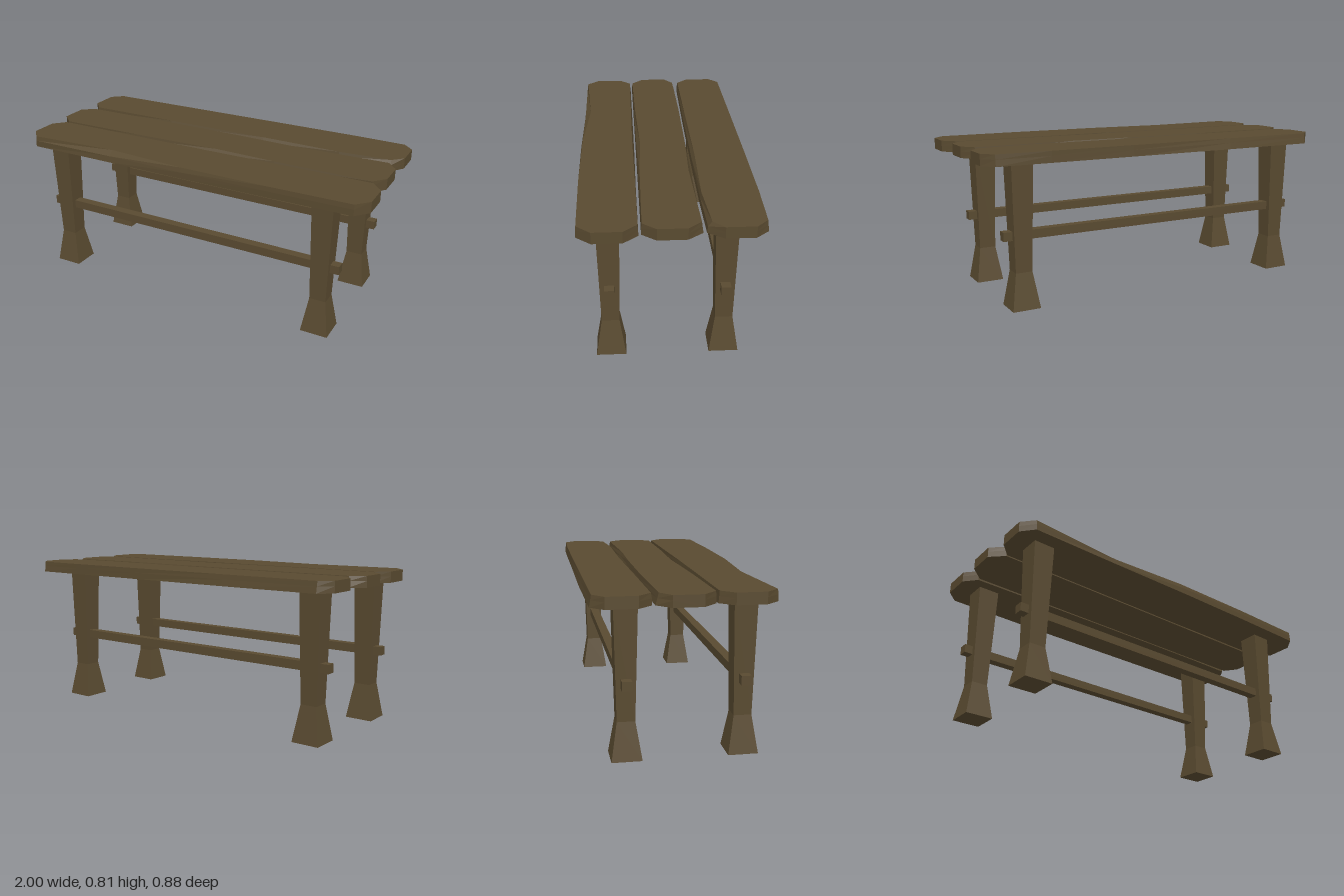
import * as THREE from 'three';

const wood = new THREE.MeshStandardMaterial({ color: 0x594a30, flatShading: true });
const BOTTOM = 0.752, MIDDLE = 0.785, TOP = 0.81;

// Skins a list of rings (equal point counts) and closes both ends.
function loft(rings) {
  const n = rings[0].length, last = (rings.length - 1) * n, index = [];
  for (let i = 0; i < rings.length - 1; i++) {
    for (let j = 0; j < n; j++) {
      const k = (j + 1) % n, a = i * n + j, b = i * n + k;
      index.push(a, a + n, b + n, a, b + n, b);
    }
  }
  for (let j = 1; j < n - 1; j++) {
    index.push(0, j, j + 1, last, last + j + 1, last + j);
  }
  const geometry = new THREE.BufferGeometry();
  geometry.setAttribute('position', new THREE.Float32BufferAttribute(rings.flat(2), 3));
  geometry.setIndex(index);
  const flat = geometry.toNonIndexed();
  flat.computeVertexNormals();
  return flat;
}

function add(parent, name, geometry, x = 0, y = 0, z = 0) {
  const mesh = new THREE.Mesh(geometry, wood);
  mesh.name = name;
  mesh.position.set(x, y, z);
  parent.add(mesh);
}

// Each station: x, front z, front top inset, back z, back top inset.
function plank(stations) {
  return loft(stations.map(([x, front, fi, back, bi]) => [
    [x, BOTTOM, front], [x, MIDDLE, front - fi * 0.15], [x, TOP, front - fi],
    [x, TOP, back + bi], [x, MIDDLE, back + bi * 0.6], [x, BOTTOM, back],
  ]));
}

// Square leg: tapering shaft over a flared foot.
function leg() {
  const levels = [[0.755, 0.057], [0.19, 0.044], [0, 0.074]];
  return loft(levels.map(([y, r]) => [[-r, y, -r], [-r, y, r], [r, y, r], [r, y, -r]]));
}

export function createModel() {
  const bench = new THREE.Group();
  bench.name = 'bench';

  // Three rough planks with clipped corners and worn edges
  add(bench, 'frontPlank', plank([
    [-0.99, 0.36, 0, 0.215, 0],
    [-0.93, 0.43, 0.005, 0.147, 0.005],
    [-0.43, 0.432, 0.037, 0.147, 0.008],
    [0.02, 0.437, 0.008, 0.147, 0.01],
    [0.5, 0.436, 0.003, 0.15, 0.004],
    [0.94, 0.43, 0.003, 0.15, 0.003],
    [1.0, 0.36, 0, 0.22, 0],
  ]));
  add(bench, 'middlePlank', plank([
    [-1.0, 0.07, 0, -0.075, 0],
    [-0.93, 0.138, 0.003, -0.142, 0.015],
    [-0.45, 0.138, 0.008, -0.142, 0.009],
    [0.05, 0.138, 0.023, -0.142, 0.012],
    [0.4, 0.138, 0.01, -0.142, 0.022],
    [0.93, 0.138, 0.003, -0.142, 0.008],
    [0.985, 0.07, 0, -0.07, 0],
  ]));
  add(bench, 'backPlank', plank([
    [-0.99, -0.225, 0, -0.375, 0],
    [-0.93, -0.157, 0.005, -0.438, 0.01],
    [-0.4, -0.152, 0.012, -0.444, 0.012],
    [0.2, -0.15, 0.018, -0.441, 0.005],
    [0.65, -0.152, 0.008, -0.44, 0.003],
    [0.93, -0.158, 0.022, -0.438, 0.007],
    [0.985, -0.235, 0, -0.375, 0],
  ]));

  // Legs, and a rail running through each front and back pair
  for (const [side, z] of [['front', 0.292], ['back', -0.271]]) {
    add(bench, side + 'RightLeg', leg(), -0.832, 0, z);
    add(bench, side + 'LeftLeg', leg(), 0.76, 0, z);
    add(bench, side + 'Rail', new THREE.BoxGeometry(1.78, 0.046, 0.048), -0.035, 0.377, z);
  }
  return bench;
}
